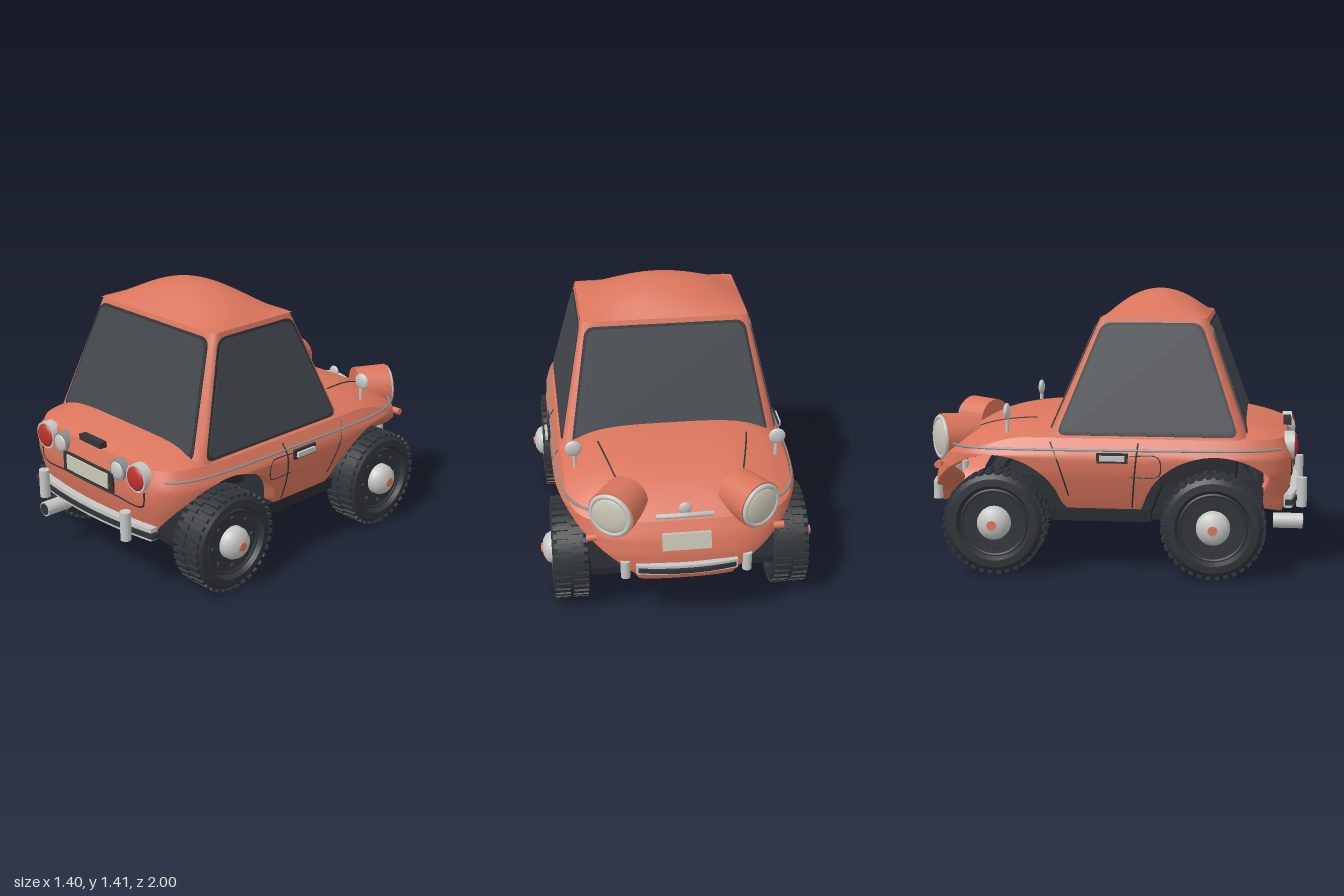
import * as THREE from 'three';
import { toCreasedNormals } from 'three/addons/utils/BufferGeometryUtils.js';

const V = (x, y, z) => new THREE.Vector3(x, y, z);
const mat = (name, color) => new THREE.MeshStandardMaterial({ name, color, side: THREE.DoubleSide });
const { smoothstep, lerp } = THREE.MathUtils;

// Grid surface from fn(u, v), both 0..1
function grid(nu, nv, fn) {
  const pos = [], index = [], w = nu + 1;
  for (let j = 0; j <= nv; j++) for (let i = 0; i <= nu; i++) pos.push(...fn(i / nu, j / nv).toArray());
  for (let j = 0; j < nv; j++) for (let i = 0; i < nu; i++) {
    const a = j * w + i;
    index.push(a, a + w, a + 1, a + 1, a + w, a + w + 1);
  }
  const g = new THREE.BufferGeometry();
  g.setAttribute('position', new THREE.Float32BufferAttribute(pos, 3));
  g.setIndex(index);
  g.computeVertexNormals();
  return g;
}

// Body skin: plan outline, side bulge and arched lower edge
const W = 0.62, ZB = 0.93, ZF = 0.95;
const levels = [0.28, 0.36, 0.44, 0.52, 0.6, 0.7];
function table(vals, y) {
  let i = 0;
  while (i < 4 && y > levels[i + 1]) i++;
  const t = Math.min(1, Math.max(0, (y - levels[i]) / (levels[i + 1] - levels[i])));
  return lerp(vals[i], vals[i + 1], t);
}
function outline(a) {
  const c = Math.cos(a), s = Math.sin(a), n = s > 0 ? 6 : 4;
  const r = (Math.abs(c) ** n + Math.abs(s) ** n) ** (-1 / n);
  return { x: W * r * c, z: (s > 0 ? ZB : ZF) * r * s };
}
function skin(a, y) {
  const { x, z } = outline(a);
  const k = table(z > 0 ? [0.94, 0.965, 0.985, 1, 1, 0.96] : [0.97, 1, 0.995, 0.97, 0.92, 0.84], y);
  const end = (Math.abs(z) / (z > 0 ? ZB : ZF)) ** 4;
  return V(x * table([0.84, 0.9, 0.95, 0.99, 1, 0.92], y), y, z * (1 - (1 - k) * end));
}
const arch = (z, c, r, h) => 0.3 + h * Math.sqrt(Math.max(0, 1 - ((z - c) / r) ** 2));
function lowerEdge(a) {
  const { x, z } = outline(a);
  const base = 0.28 + 0.05 * (x / W) ** 2;
  const lift = Math.max(arch(z, 0.54, 0.36, 0.31), arch(z, -0.58, 0.36, 0.3));
  return lift > 0.3 ? Math.max(base, lift) : base;
}
const shoulder = (a) => 0.69 - 0.1 * smoothstep(-outline(a).z, 0.4, 0.9);
function lid(a, s) {
  const y = shoulder(a), p = skin(a, y);
  return V(p.x * s, y + (0.79 - y) * (1 - s ** 4), p.z * s);
}
function lidAt(x, z) {
  const a = Math.atan2(z / (z > 0 ? ZB : ZF), x / W), e = lid(a, 1);
  return lid(a, Math.min(1, Math.hypot(x, z) / Math.hypot(e.x, e.z)));
}
// Skin point on the +x or -x side at a given z
function sideAt(side, y, z) {
  let lo = -Math.PI / 2, hi = Math.PI / 2;
  for (let i = 0; i < 30; i++) {
    const m = (lo + hi) / 2;
    if (skin(m, y).z < z) lo = m; else hi = m;
  }
  const p = skin(lo, y);
  return V(p.x * side, y, p.z);
}

function roundedShape(pts, r) {
  const s = new THREE.Shape(), P = pts.map((p) => new THREE.Vector2(...p)), n = P.length;
  P.forEach((p, i) => {
    const a = p.clone().add(P[(i + n - 1) % n].clone().sub(p).setLength(r));
    const b = p.clone().add(P[(i + 1) % n].clone().sub(p).setLength(r));
    if (i) s.lineTo(a.x, a.y); else s.moveTo(a.x, a.y);
    s.quadraticCurveTo(p.x, p.y, b.x, b.y);
  });
  s.closePath();
  return s;
}

export function createModel() {
  const paint = mat('coralPaint', 0xd9755c), glass = mat('smokedGlass', 0x42464c), black = mat('blackRubber', 0x303438);
  const chrome = mat('chrome', 0xc6c6c4), cream = mat('creamLens', 0xcac8b6), red = mat('redLens', 0xbe302b);
  const floorMat = mat('darkFloor', 0x25282c), trimMat = mat('greyTrim', 0x8b9192);
  const car = new THREE.Group();
  car.name = 'smallCar';
  const add = (name, geo, m, x = 0, y = 0, z = 0, parent = car) => {
    const o = new THREE.Mesh(geo, m);
    o.name = name;
    o.position.set(x, y, z);
    parent.add(o);
    return o;
  };
  const box = (name, m, w, h, d, x, y, z, parent) => add(name, new THREE.BoxGeometry(w, h, d), m, x, y, z, parent);
  const cyl = (name, m, r, len, x, y, z, axis = 'y', parent = car) => {
    const g = new THREE.CylinderGeometry(r, r, len, 28);
    if (axis === 'z') g.rotateX(Math.PI / 2);
    if (axis === 'x') g.rotateZ(-Math.PI / 2);
    return add(name, g, m, x, y, z, parent);
  };
  const tube = (name, m, pts, r, seg = 24) =>
    add(name, new THREE.TubeGeometry(new THREE.CatmullRomCurve3(pts), seg, r, 6), m);

  // Body shell, rolled lower lip and bonnet/boot deck
  const TAU = Math.PI * 2;
  add('bodySides', grid(240, 14, (u, v) => skin(u * TAU, lerp(lowerEdge(u * TAU), shoulder(u * TAU), v))), paint);
  add('wheelArchLip', grid(240, 1, (u, v) => {
    const p = skin(u * TAU, lowerEdge(u * TAU));
    return V(p.x * (1 - 0.13 * v), p.y, p.z * (1 - 0.14 * v * smoothstep(Math.abs(p.z), 0.8, 0.9)));
  }), paint);
  add('bodyDeck', grid(160, 20, (u, v) => lid(u * TAU, 1 - v)), paint);

  // Cabin: tapered rounded frame with a domed roof
  const ring = roundedShape([[-1, -1], [1, -1], [1, 1], [-1, 1]], 0.12).getSpacedPoints(96);
  add('cabinFrame', grid(96, 4, (u, v) => {
    const p = ring[Math.round(u * 96)];
    return V(p.x * lerp(0.565, 0.435, v), lerp(0.68, 1.28, v), lerp(0.2, 0.22, v) + p.y * lerp(0.505, 0.27, v));
  }), paint);
  add('roof', grid(28, 28, (u, v) => {
    const x = u * 2 - 1, z = v * 2 - 1;
    return V(x * 0.433, 1.278 + 0.132 * (1 - x * x) * (1 - z * z), 0.22 + z * 0.268);
  }), paint);

  // Windows: dark seal with a glass plate on each sloping face
  function pane(name, u, slope, origin, h) {
    const len = slope.length(), v = slope.clone().normalize(), n = u.clone().cross(v);
    const k = len / 0.6;
    [['Seal', black, 0.014, 0.004], ['Glass', glass, 0, 0.008]].forEach(([part, m, g, depth]) => {
      const lo = (0.035 - g) * k, hi = (0.562 + g) * k;
      const s = roundedShape([[h[0] - g, lo], [h[1] + g, lo], [h[2] + g, hi], [h[3] - g, hi]], 0.05);
      const o = add(name + part, new THREE.ExtrudeGeometry(s, { depth, bevelEnabled: false, curveSegments: 8 }), m);
      o.applyMatrix4(new THREE.Matrix4().makeBasis(u, v, n).setPosition(origin));
    });
  }
  pane('rearWindow', V(1, 0, 0), V(0, 0.6, -0.215), V(0, 0.68, 0.705), [-0.5, 0.5, 0.4, -0.4]);
  pane('windscreen', V(-1, 0, 0), V(0, 0.6, 0.255), V(0, 0.68, -0.305), [-0.5, 0.5, 0.4, -0.4]);
  pane('leftWindow', V(0, 0, -1), V(-0.13, 0.6, 0), V(0.565, 0.68, 0.2), [-0.44, 0.44, 0.22, -0.25]);
  pane('rightWindow', V(0, 0, 1), V(0.13, 0.6, 0), V(-0.565, 0.68, 0.2), [-0.44, 0.44, 0.25, -0.22]);

  // Underside
  box('floor', floorMat, 0.92, 0.035, 1.6, 0, 0.277, -0.02);
  box('sills', floorMat, 1.06, 0.06, 0.5, 0, 0.292, -0.03);
  box('rearBulkhead', floorMat, 0.8, 0.17, 0.39, 0, 0.515, 0.445);

  // Wheels
  const tyreGeo = toCreasedNormals(new THREE.LatheGeometry([[0, -0.07], [0.17, -0.07], [0.19, -0.092], [0.225, -0.09],
    [0.25, -0.065], [0.25, 0.065], [0.225, 0.09], [0.19, 0.092], [0.172, 0.065], [0.1, 0.06], [0, 0.06]]
    .map((p) => new THREE.Vector2(...p)), 48).rotateZ(-Math.PI / 2), 0.7);
  const hubGeo = new THREE.LatheGeometry([[0.085, 0.055], [0.083, 0.09], [0.07, 0.115], [0.04, 0.132], [0, 0.138]]
    .map((p) => new THREE.Vector2(...p)), 32).rotateZ(-Math.PI / 2);
  const lugGeo = new THREE.BoxGeometry(0.075, 0.014, 0.024);
  for (const side of [1, -1]) for (const z of [0.535, -0.56]) {
    const wheel = new THREE.Group();
    wheel.name = (z > 0 ? 'rear' : 'front') + (side > 0 ? 'Left' : 'Right') + 'Wheel';
    wheel.position.set(side * 0.557, 0.262, z);
    if (side < 0) wheel.rotation.y = Math.PI;
    car.add(wheel);
    add('tyre', tyreGeo, black, 0, 0, 0, wheel);
    add('hubCap', hubGeo, chrome, 0, 0, 0, wheel);
    cyl('hubButton', paint, 0.023, 0.02, 0.134, 0, 0, 'x', wheel);
    add('rimRing', new THREE.TorusGeometry(0.165, 0.008, 6, 40).rotateY(Math.PI / 2), black, 0.067, 0, 0, wheel);
    for (let i = 0; i < 8; i++) {
      const a = i * TAU / 8;
      cyl('rimBolt', black, 0.012, 0.014, 0.066, 0.13 * Math.cos(a), 0.13 * Math.sin(a), 'x', wheel);
    }
    for (let i = 0; i < 72; i++) {
      const a = i * TAU / 72;
      const lug = add('treadLug', lugGeo, black, i % 2 ? 0.046 : -0.046, 0.253 * Math.cos(a), 0.253 * Math.sin(a), wheel);
      lug.rotation.x = a;
    }
  }

  // Paired parts
  for (const s of [1, -1]) {
    // headlamp pods turned outwards
    const lamp = new THREE.Group();
    lamp.name = 'headlamp';
    lamp.position.set(s * 0.365, 0.65, -0.885);
    lamp.rotation.y = Math.PI - s * 0.55;
    car.add(lamp);
    add('headlampPod', new THREE.CylinderGeometry(0.122, 0.115, 0.18, 36).rotateX(Math.PI / 2), paint, 0, 0, -0.09, lamp);
    add('headlampRim', new THREE.TorusGeometry(0.103, 0.013, 10, 36), chrome, 0, 0, 0.004, lamp);
    add('headlampLens', new THREE.SphereGeometry(0.1, 28, 10, 0, TAU, 0, Math.PI / 2).rotateX(Math.PI / 2).scale(1, 1, 0.25), cream, 0, 0, 0.003, lamp);
    cyl('frontIndicator', paint, 0.018, 0.05, s * 0.46, 0.525, -0.88, 'x');

    // tail lamps
    cyl('tailLampRim', chrome, 0.071, 0.05, s * 0.365, 0.64, 0.905, 'z');
    add('tailLampLens', new THREE.SphereGeometry(0.062, 24, 12).scale(1, 1, 0.35), red, s * 0.365, 0.64, 0.927);
    cyl('reverseLampRim', trimMat, 0.055, 0.05, s * 0.23, 0.64, 0.91, 'z');
    add('reverseLampLens', new THREE.SphereGeometry(0.046, 24, 12).scale(1, 1, 0.35), chrome, s * 0.23, 0.64, 0.932);

    // bumper posts
    cyl('rearOverrider', chrome, 0.027, 0.15, s * 0.333, 0.395, 0.972);
    cyl('frontOverrider', chrome, 0.024, 0.095, s * 0.3, 0.36, -0.925);

    // wing mirrors
    cyl('mirrorStem', chrome, 0.009, 0.12, s * 0.51, 0.74, -0.51);
    add('mirrorHead', new THREE.SphereGeometry(0.043, 24, 12).scale(1, 1, 0.4), chrome, s * 0.515, 0.81, -0.51);

    // belt trim, door seams, fuel flap outline and handle
    const trim = [];
    for (let i = 0; i <= 30; i++) trim.push(sideAt(s, lerp(0.64, 0.63, i / 30), lerp(0.86, -0.8, i / 30)));
    tube('beltTrim', trimMat, trim, 0.007, 60);
    tube('doorRearSeam', black, [0.67, 0.6, 0.5, 0.42, 0.34].map((y) => sideAt(s, y, 0.16 - (0.67 - y) * 0.1)), 0.004);
    tube('doorFrontSeam', black, [[0.67, -0.28], [0.58, -0.24], [0.48, -0.21], [0.4, -0.19]].map(([y, z]) => sideAt(s, y, z)), 0.004);
    tube('fuelFlapSeam', black, [[0.61, 0.12], [0.61, 0.25], [0.59, 0.27], [0.52, 0.27], [0.505, 0.25], [0.505, 0.12]]
      .map(([y, z]) => sideAt(s, y, z)), 0.003);
    const grip = sideAt(s, 0.6, 0.035);
    box('handleRecess', black, 0.014, 0.05, 0.155, grip.x, 0.6, 0.035);
    box('doorHandle', chrome, 0.03, 0.026, 0.125, grip.x + s * 0.006, 0.6, 0.035);
    tube('bonnetSeam', black, [0, 0.25, 0.5, 0.75, 1].map((t) => lidAt(s * lerp(0.27, 0.39, t), lerp(-0.78, -0.37, t))), 0.004);
  }

  // Tail details
  box('bootHandle', black, 0.17, 0.03, 0.04, 0, 0.716, 0.9);
  box('rearPlateFrame', black, 0.4, 0.1, 0.03, 0, 0.56, 0.925);
  box('rearPlate', cream, 0.33, 0.078, 0.008, 0, 0.562, 0.943);
  tube('bootSeam', black, [[-0.42, 0.58], [-0.41, 0.5], [-0.2, 0.497], [0.2, 0.497], [0.41, 0.5], [0.42, 0.58]]
    .map(([x, y]) => skin(Math.atan2(1, x / W), y)), 0.005, 48);

  // Curved bumper blades
  const blade = (name, m, half, h, y, zMid, zEnd, thick) => {
    const shape = new THREE.Shape();
    shape.moveTo(-half, zEnd);
    shape.quadraticCurveTo(0, 2 * zMid - zEnd, half, zEnd);
    shape.lineTo(half, zEnd - thick);
    shape.quadraticCurveTo(0, 2 * zMid - zEnd - thick, -half, zEnd - thick);
    const g = new THREE.ExtrudeGeometry(shape, { depth: h, bevelEnabled: false, curveSegments: 24 });
    return add(name, g.rotateX(Math.PI / 2), m, 0, y + h / 2, 0);
  };
  blade('rearBumper', chrome, 0.46, 0.065, 0.37, 0.965, 0.92, 0.04);
  blade('rearBumperStrip', black, 0.48, 0.026, 0.367, 0.972, 0.926, 0.04);
  blade('frontBumper', chrome, 0.25, 0.05, 0.37, -0.955, -0.93, 0.03);
  blade('frontBumperStrip', black, 0.24, 0.022, 0.37, -0.985, -0.955, 0.015);

  // Nose details
  box('frontPlate', cream, 0.24, 0.085, 0.03, 0, 0.5, -0.925).rotation.x = 0.2;
  tube('noseTrim', chrome, [V(-0.14, 0.605, -0.86), V(0, 0.62, -0.885), V(0.14, 0.605, -0.86)], 0.014);
  add('noseStud', new THREE.SphereGeometry(0.032, 20, 12).scale(1, 1, 0.4), chrome, 0, 0.645, -0.86);

  // Exhaust
  cyl('exhaustPipe', chrome, 0.039, 0.15, -0.335, 0.245, 0.905, 'z');
  cyl('exhaustBore', black, 0.031, 0.004, -0.335, 0.245, 0.981, 'z');
  return car;
}
